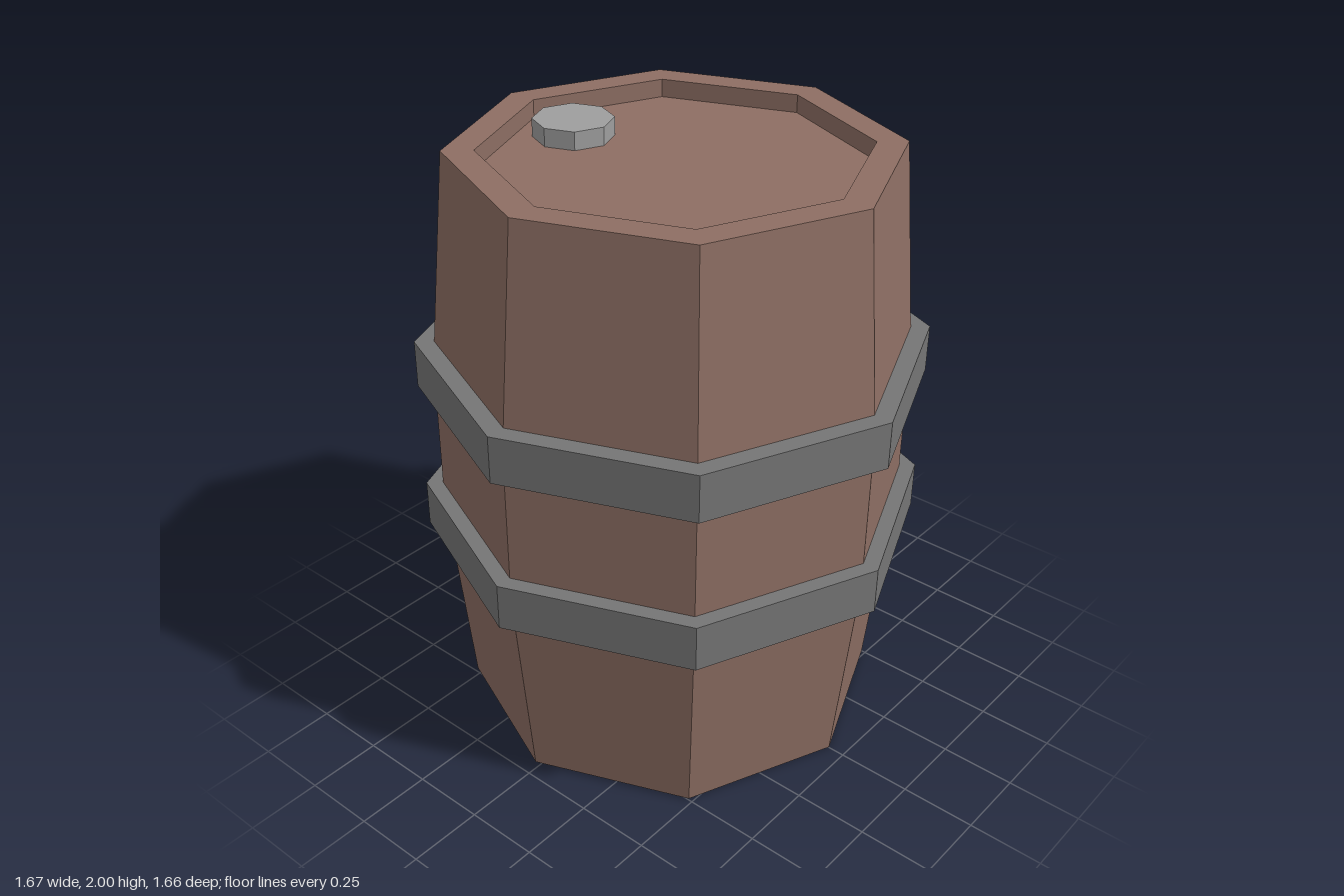
import * as THREE from 'three';

const SIDES = 8, STEP = Math.PI / 4;
const R_END = 0.705, R_MID = 0.775, R_LID = 0.605, R_BAND = 0.83;
const H = 0.991, FOLD = 0.27, LID_Y = H - 0.06;

const mat = (color) => new THREE.MeshStandardMaterial({ color, flatShading: true, side: THREE.DoubleSide });

export function createModel() {
  const model = new THREE.Group();
  const barrel = new THREE.Group();
  barrel.name = 'barrel';
  const wood = mat(0x8d6e63), iron = mat(0x757575), steel = mat(0x9e9e9e);

  const add = (name, geometry, material, x = 0, y = 0, z = 0) => {
    const mesh = new THREE.Mesh(geometry, material);
    mesh.name = name;
    mesh.position.set(x, y, z);
    barrel.add(mesh);
    return mesh;
  };
  const lathe = (pts, segments = SIDES, start = 0) =>
    new THREE.LatheGeometry(pts.map((p) => new THREE.Vector2(...p)), segments, start, segments * STEP);

  // Lower body with its base, and the recessed lid with its rim
  add('lowerStaves', lathe([[0, -H], [R_END, -H], [R_MID, -FOLD], [R_MID, FOLD]]), wood);
  add('lid', lathe([[R_END, H], [R_LID, H], [R_LID, LID_Y], [0, LID_Y]]), wood);

  // Seven sloping upper staves and one that stands straight behind the others
  const gap = 5 * STEP;
  add('upperStaves', lathe([[R_MID, FOLD], [R_END, H]], 7, gap + STEP), wood);
  add('sunkenStave', lathe([[R_END, FOLD], [R_END, H]], 1, gap), wood);

  // Edges of the staves beside the sunken one
  const edge = new THREE.Shape([[R_END, FOLD], [R_MID, FOLD], [R_END, H]].map((p) => new THREE.Vector2(...p)));
  for (const phi of [gap, gap + STEP]) {
    add('staveEdge', new THREE.ShapeGeometry(edge), wood).rotation.y = phi - Math.PI / 2;
  }

  // Iron bands
  for (const y of [0.275, -0.26]) {
    add('band', new THREE.CylinderGeometry(R_BAND, R_BAND, 0.16, SIDES), iron, 0, y, 0);
  }

  // Dark wedges on the base
  for (const k of [4, 5, 7]) {
    const wedge = new THREE.CircleGeometry(R_END, 1, k * STEP, STEP);
    // A one-segment circle is raised to three, so build the plain triangle
    const tri = new THREE.Shape([
      new THREE.Vector2(0, 0),
      new THREE.Vector2(R_END * Math.cos(k * STEP), R_END * Math.sin(k * STEP)),
      new THREE.Vector2(R_END * Math.cos((k + 1) * STEP), R_END * Math.sin((k + 1) * STEP)),
    ]);
    wedge.dispose();
    add('baseWedge', new THREE.ShapeGeometry(tri), iron, 0, -H - 0.002, 0).rotation.x = Math.PI / 2;
  }

  // Plug on the lid
  add('plug', new THREE.CylinderGeometry(0.13, 0.13, 0.06, SIDES), steel, -0.4, LID_Y + 0.03, 0.03);

  // The barrel leans very slightly
  barrel.rotation.z = -0.0125;
  barrel.position.y = 1;
  model.add(barrel);
  return model;
}
